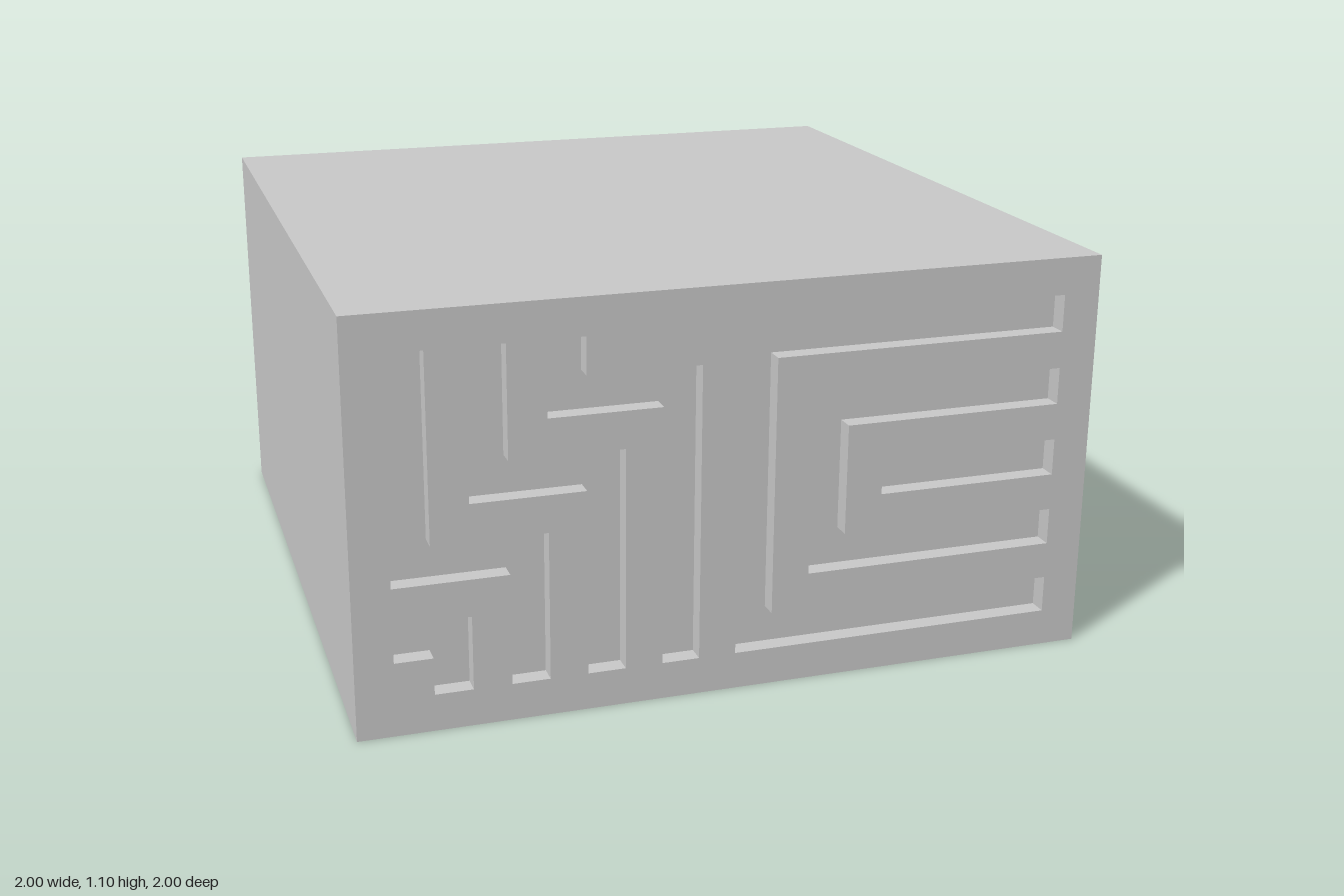
import * as THREE from 'three';
import { mergeGeometries } from 'three/addons/utils/BufferGeometryUtils.js';

const W = 2, H = 1.1, DEPTH = 0.05;

// Groove outlines, clockwise, in tenths of a unit (across, up)
const FRONT_GROOVES = [
  [[-9, 10], [-8, 10], [-8, 5], [-5, 5], [-5, 1], [-6, 1], [-6, 4], [-9, 4]],
  [[-7, 10], [-6, 10], [-6, 7], [-3, 7], [-3, 1], [-4, 1], [-4, 6], [-7, 6]],
  [[-5, 10], [-4, 10], [-4, 9], [-1, 9], [-1, 1], [-2, 1], [-2, 8], [-5, 8]],
  [[-9, 3], [-7, 3], [-7, 1], [-8, 1], [-8, 2], [-9, 2]],
  [[0, 10], [9, 10], [9, 9], [1, 9], [1, 2], [9, 2], [9, 1], [0, 1]],
  [[2, 8], [9, 8], [9, 7], [3, 7], [3, 4], [9, 4], [9, 3], [2, 3]],
  [[4, 6], [9, 6], [9, 5], [4, 5]],
];
const SIDE_GROOVES = [
  [[-9, 10], [-8, 10], [-8, 5], [-3, 5], [-3, 2], [9, 2], [9, 1], [-4, 1], [-4, 4], [-9, 4]],
  [[-7, 10], [-6, 10], [-6, 7], [-1, 7], [-1, 4], [9, 4], [9, 3], [-2, 3], [-2, 6], [-7, 6]],
  [[-5, 10], [-4, 10], [-4, 9], [1, 9], [1, 6], [9, 6], [9, 5], [0, 5], [0, 8], [-5, 8]],
  [[2, 10], [3, 10], [3, 8], [9, 8], [9, 7], [2, 7]],
  [[4, 10], [9, 10], [9, 9], [4, 9]],
  [[-9, 3], [-4.5, 3], [-4.5, 2], [-9, 2]],
];

// Walls around a clockwise outline, facing into the groove
function grooveWalls(points) {
  const pos = [];
  points.forEach((a, i) => {
    const b = points[(i + 1) % points.length];
    pos.push(a.x, a.y, -DEPTH, b.x, b.y, -DEPTH, b.x, b.y, 0);
    pos.push(a.x, a.y, -DEPTH, b.x, b.y, 0, a.x, a.y, 0);
  });
  const geo = new THREE.BufferGeometry();
  geo.setAttribute('position', new THREE.Float32BufferAttribute(pos, 3));
  geo.computeVertexNormals();
  return geo;
}

// One wall of the block with sunken grooves, facing +z
function groovedWall(name, grooves, material) {
  const group = new THREE.Group();
  group.name = name;
  const outlines = grooves.map(g => g.map(([u, v]) => new THREE.Vector2(u / 10, v / 10)));

  const face = new THREE.Shape([[-1, 0], [1, 0], [1, H], [-1, H]].map(p => new THREE.Vector2(...p)));
  face.holes = outlines.map(o => new THREE.Path(o));
  const faceMesh = new THREE.Mesh(new THREE.ShapeGeometry(face), material);
  faceMesh.name = name + 'Surface';

  const floors = new THREE.ShapeGeometry(outlines.map(o => new THREE.Shape(o)));
  const floorMesh = new THREE.Mesh(floors, material);
  floorMesh.position.z = -DEPTH;
  floorMesh.name = name + 'GrooveFloors';

  const wallMesh = new THREE.Mesh(mergeGeometries(outlines.map(grooveWalls)), material);
  wallMesh.name = name + 'GrooveWalls';

  group.add(faceMesh, floorMesh, wallMesh);
  return group;
}

export function createModel() {
  const model = new THREE.Group();
  model.name = 'groovedBlock';
  const stone = new THREE.MeshStandardMaterial({ color: 0xc8c8c8 });
  stone.name = 'lightGrey';

  // Carved front and side
  const front = groovedWall('front', FRONT_GROOVES, stone);
  front.position.z = 1;
  const side = groovedWall('side', SIDE_GROOVES, stone);
  side.rotation.y = Math.PI / 2;
  side.position.x = 1;
  model.add(front, side);

  // Plain faces closing the block
  const plain = (name, height, rotX, rotY, x, y, z) => {
    const mesh = new THREE.Mesh(new THREE.PlaneGeometry(W, height), stone);
    mesh.name = name;
    mesh.rotation.set(rotX, rotY, 0);
    mesh.position.set(x, y, z);
    model.add(mesh);
  };
  plain('back', H, 0, Math.PI, 0, H / 2, -1);
  plain('plainSide', H, 0, -Math.PI / 2, -1, H / 2, 0);
  plain('top', W, -Math.PI / 2, 0, 0, H, 0);
  plain('bottom', W, Math.PI / 2, 0, 0, 0, 0);
  return model;
}
